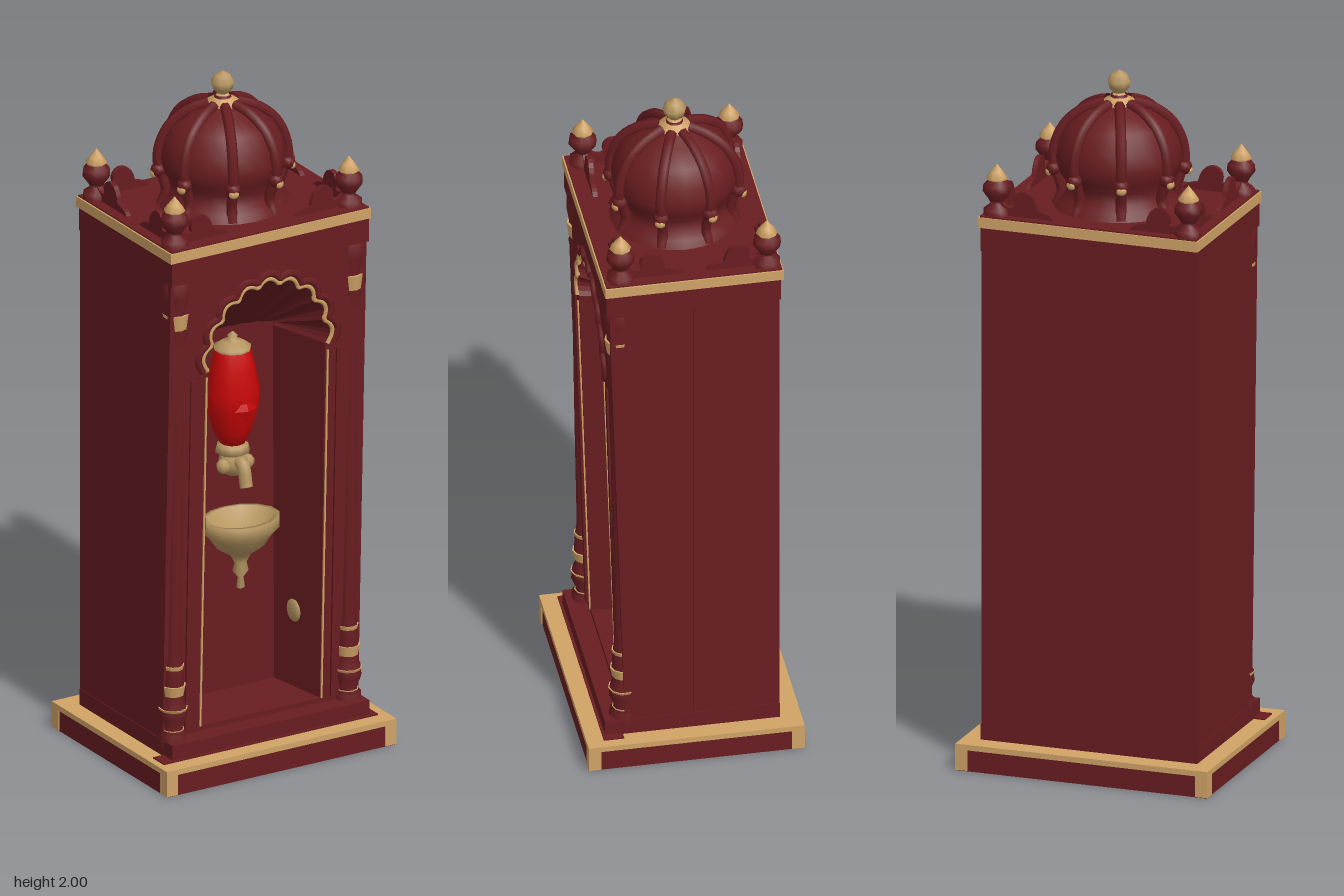
import * as THREE from 'three';

const mat = (name, color, extra = {}) => {
  const m = new THREE.MeshStandardMaterial({ color, ...extra });
  m.name = name;
  return m;
};

export function createModel() {
  const root = new THREE.Group();
  const red = mat('dark red wood', 0x691d21, { side: THREE.DoubleSide });
  const gold = mat('gold trim', 0xd0a366);
  const oldGold = mat('antique gold', 0xb69661, { side: THREE.DoubleSide });
  const glass = mat('bright red vessel', 0xc80505);

  const add = (name, geo, material, x = 0, y = 0, z = 0, parent = root) => {
    const m = new THREE.Mesh(geo, material);
    m.name = name;
    m.position.set(x, y, z);
    parent.add(m);
    return m;
  };
  // box given by its limits
  const block = (name, material, x0, x1, y0, y1, z0, z1) =>
    add(name, new THREE.BoxGeometry(x1 - x0, y1 - y0, z1 - z0), material,
      (x0 + x1) / 2, (y0 + y1) / 2, (z0 + z1) / 2);
  // lathe from [radius, y] pairs
  const lathe = (pts, n = 12) => new THREE.LatheGeometry(pts.map(p => new THREE.Vector2(...p)), n);

  // base with gold top and corner plates
  block('base', red, -0.372, 0.372, 0, 0.064, -0.303, 0.303);
  block('baseTop', gold, -0.375, 0.375, 0.062, 0.078, -0.306, 0.306);
  for (const sx of [-1, 1]) for (const sz of [-1, 1]) {
    add('baseCornerPlate', new THREE.BoxGeometry(0.036, 0.062, 0.005), gold, sx * 0.357, 0.033, sz * 0.3035);
    add('baseCornerPlate', new THREE.BoxGeometry(0.005, 0.062, 0.036), gold, sx * 0.3725, 0.033, sz * 0.288);
  }
  block('plinth', red, -0.322, 0.322, 0.076, 0.125, -0.245, 0.25);
  block('plinthFoot', red, -0.355, 0.345, 0.077, 0.082, 0.2, 0.258);

  // cabinet body behind the niche
  block('cabinetBack', red, -0.32, 0.32, 0.08, 1.52, -0.245, -0.001);

  // scalloped arch outline
  const frontZ = y => 0.189 + 0.032 * y;
  const arch = grow => {
    const pts = [];
    for (let i = 0; i <= 54; i++) {
      const a = Math.PI * i / 54;
      const lobe = 0.018 * Math.abs(Math.sin(a * 9)) - 0.01;
      pts.push(new THREE.Vector2((0.2 + lobe + grow) * Math.cos(a), 1.22 + (0.225 + lobe + grow) * Math.sin(a)));
    }
    return pts;
  };

  // front frame with arched niche; the face leans forward, the niche narrows and its vault drops to the back
  const face = new THREE.Shape([[-0.32, 0.08], [0.32, 0.08], [0.32, 1.52], [-0.32, 1.52]]
    .map(p => new THREE.Vector2(...p)));
  face.holes.push(new THREE.Path([new THREE.Vector2(-0.195, 0.14), new THREE.Vector2(0.195, 0.14), ...arch(0)]));
  const frame = new THREE.ExtrudeGeometry(face, { depth: 1, bevelEnabled: false });
  const fp = frame.attributes.position;
  for (let i = 0; i < fp.count; i++) {
    const x = fp.getX(i), y = fp.getY(i);
    if (fp.getZ(i) > 0.5) fp.setZ(i, frontZ(y));
    else if (Math.abs(x) < 0.3) fp.setXY(i, x * 0.84, y > 1.2 ? 1.2 + (y - 1.2) * 0.12 : y);
  }
  frame.computeVertexNormals();
  add('nicheFrame', frame, red);

  // arch mouldings
  const tube = (pts, r, n) => new THREE.TubeGeometry(
    new THREE.CatmullRomCurve3(pts.map(p => new THREE.Vector3(p.x, p.y, frontZ(p.y) + 0.002))), n, r, 5);
  add('archGoldTrim', tube(arch(0.006), 0.007, 160), gold);
  add('archRedMoulding', tube(arch(0.022), 0.011, 160), red);

  for (const s of [-1, 1]) {
    // thin gold edge on each jamb
    const strip = block('jambTrim', gold, s * 0.198 - 0.0025, s * 0.198 + 0.0025, 0.14, 1.2, -0.003, 0.003);
    strip.position.z = frontZ(0.67) + 0.001;
    strip.rotation.x = 0.032;
    // jamb rosette
    const rosette = add('jambRosette', new THREE.SphereGeometry(0.036, 10, 6), oldGold, s * 0.178, 0.37, 0.08);
    rosette.scale.set(0.3, 1, 1);

    // turned column
    const column = new THREE.Group();
    column.name = 'frontColumn';
    column.position.set(s * 0.285, 0, 0.19);
    column.rotation.x = 0.012;
    root.add(column);
    add('columnShaft', lathe([[0.04, 0.1], [0.04, 0.14], [0.026, 0.155], [0.04, 0.19], [0.038, 0.22],
      [0.024, 0.25], [0.032, 0.27], [0.028, 0.34], [0.022, 0.38], [0.024, 0.7], [0.026, 1.3], [0.034, 1.35],
      [0.03, 1.37], [0.032, 1.42], [0.038, 1.46], [0.038, 1.5], [0.02, 1.515]], 10), red, 0, 0, 0, column);
    for (const [y, r, h] of [[0.145, 0.032, 0.014], [0.21, 0.042, 0.014], [0.27, 0.036, 0.03], [0.335, 0.031, 0.02], [1.385, 0.038, 0.045]])
      add('columnGoldRing', new THREE.CylinderGeometry(r, r * 0.85, h, 10), gold, 0, y, 0, column);
    // inner pilaster strip
    block('innerPilaster', red, s * 0.238 - 0.012, s * 0.238 + 0.012, 0.14, 1.2, 0.19, 0.217).rotation.x = 0.03;
  }

  // hanging vessel
  add('vessel', lathe([[0, 0.895], [0.035, 0.9], [0.055, 0.94], [0.076, 1.01], [0.078, 1.06], [0.064, 1.13],
    [0.052, 1.18], [0.04, 1.195], [0, 1.2]], 10), glass, 0, 0, 0.045);
  const gem = add('vesselDiamond', new THREE.OctahedronGeometry(0.036), glass, 0, 1.02, 0.117);
  gem.scale.z = 0.35;
  add('vesselCap', lathe([[0.05, 1.175], [0.054, 1.19], [0.03, 1.205], [0.01, 1.212], [0.015, 1.222], [0, 1.235]], 10),
    oldGold, 0, 0, 0.045);

  // tap with rosette, spout and handles
  add('tapCollar', lathe([[0.025, 0.86], [0.05, 0.875], [0.045, 0.895], [0.03, 0.905]], 10), oldGold, 0, 0, 0.045);
  add('tapRosette', new THREE.SphereGeometry(0.043, 8, 6), oldGold, 0, 0.845, 0.05);
  add('tapSpout', new THREE.TubeGeometry(new THREE.CatmullRomCurve3([
    new THREE.Vector3(0, 0.85, 0.04), new THREE.Vector3(0, 0.85, 0.1), new THREE.Vector3(0, 0.79, 0.12)]), 10, 0.019, 7), oldGold);
  for (const s of [-1, 1])
    add('tapHandle', new THREE.SphereGeometry(0.022, 7, 5), oldGold, s * 0.038, 0.84, 0.06);

  // basin on a tapering drop
  const basin = add('basin', lathe([[0, 0.472], [0.013, 0.48], [0.009, 0.51], [0.024, 0.53], [0.018, 0.555], [0.032, 0.58],
    [0.072, 0.605], [0.093, 0.635], [0.117, 0.66], [0.117, 0.69], [0.102, 0.69], [0.07, 0.65], [0, 0.635]], 14),
  oldGold, 0, 0, 0.088);
  basin.scale.z = 0.78;

  // cornice, gold rim and roof deck
  block('corniceBand', red, -0.322, 0.322, 1.505, 1.58, -0.248, 0.246);
  block('corniceRim', gold, -0.327, 0.327, 1.575, 1.605, -0.256, 0.25);
  block('roofDeck', red, -0.322, 0.322, 1.6, 1.609, -0.252, 0.246);

  // corner finials
  for (const x of [-0.285, 0.285]) for (const z of [-0.215, 0.2]) {
    add('cornerFinial', lathe([[0.038, 1.605], [0.038, 1.625], [0.018, 1.64], [0.022, 1.65], [0.04, 1.675],
      [0.038, 1.695], [0.022, 1.712], [0.02, 1.72]], 10), red, x, 0, z);
    add('cornerFinialTip', lathe([[0.022, 1.704], [0.031, 1.714], [0.018, 1.732], [0, 1.755]], 8), gold, x, 0, z);
  }

  // scrolled cresting beside every corner finial
  const crest = new THREE.Shape();
  crest.moveTo(0, 0);
  crest.lineTo(0.16, 0);
  crest.quadraticCurveTo(0.15, 0.02, 0.11, 0.025);
  crest.quadraticCurveTo(0.1, 0.08, 0.06, 0.075);
  crest.quadraticCurveTo(0.03, 0.065, 0.04, 0.03);
  crest.quadraticCurveTo(0.02, 0.02, 0, 0.045);
  const crestGeo = new THREE.ExtrudeGeometry(crest, { depth: 0.014, bevelEnabled: false, curveSegments: 5 });
  crestGeo.translate(0, 0, -0.007);
  for (const z of [-0.218, 0.196]) for (const s of [-1, 1]) {
    add('frontBackCresting', crestGeo, red, s * 0.27, 1.606, z).rotation.y = s > 0 ? Math.PI : 0;
    add('sideCresting', crestGeo, red, s * 0.284, 1.606, z * 0.93).rotation.y = z < 0 ? -Math.PI / 2 : Math.PI / 2;
  }

  // dome with eight ribs and scrolled brackets
  const dome = new THREE.Group();
  dome.name = 'dome';
  dome.position.z = -0.007;
  root.add(dome);
  add('domeShell', lathe([[0.185, 1.605], [0.17, 1.63], [0.15, 1.65], [0.148, 1.68], [0.168, 1.71], [0.178, 1.75],
    [0.168, 1.8], [0.14, 1.85], [0.09, 1.885], [0.045, 1.9], [0.025, 1.92], [0.022, 1.93]], 24), red, 0, 0, 0, dome);
  for (let i = 0; i < 8; i++) {
    const rib = new THREE.Group();
    rib.name = 'domeRib';
    rib.rotation.y = Math.PI / 8 + i * Math.PI / 4;
    dome.add(rib);
    const path = new THREE.CatmullRomCurve3([[0.175, 1.61], [0.16, 1.65], [0.17, 1.69], [0.184, 1.74], [0.175, 1.8],
      [0.145, 1.853], [0.095, 1.89], [0.04, 1.908]].map(p => new THREE.Vector3(p[0], p[1], 0)));
    add('ribTube', new THREE.TubeGeometry(path, 20, 0.015, 6), red, 0, 0, 0, rib);
    add('ribScroll', new THREE.SphereGeometry(0.022, 8, 6), red, 0.182, 1.715, 0, rib);
    const tip = add('ribGoldTip', new THREE.SphereGeometry(0.014, 7, 5), gold, 0.196, 1.705, 0, rib);
    tip.scale.set(0.7, 0.9, 1.1);
  }

  // top finial
  add('topFinialCollar', lathe([[0.045, 1.9], [0.045, 1.912], [0.02, 1.925], [0.012, 1.94]], 10), gold, 0, 0, 0, dome);
  add('topFinial', lathe([[0.012, 1.93], [0.03, 1.95], [0.034, 1.968], [0.022, 1.988], [0, 2]], 8), oldGold, 0, 0, 0, dome);

  return root;
}
